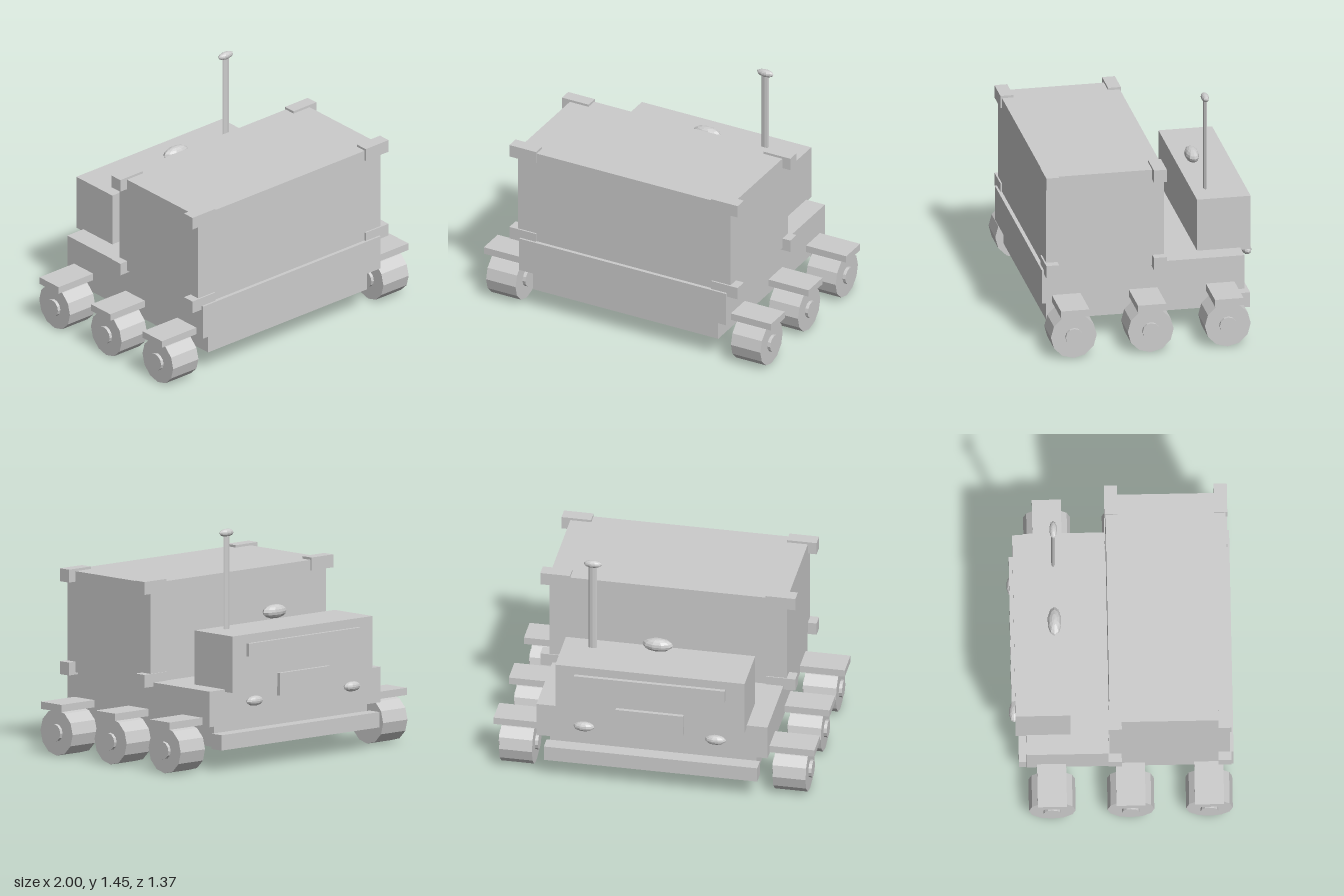
import * as THREE from 'three';

export function createModel() {
  const model = new THREE.Group();
  model.name = 'cargoTruck';
  const grey = new THREE.MeshStandardMaterial({ color: 0xcccccc });
  grey.name = 'plain grey';

  const add = (name, geo) => {
    const mesh = new THREE.Mesh(geo, grey);
    mesh.name = name;
    model.add(mesh);
    return mesh;
  };
  // Box from its lower and upper limits on each axis
  const box = (name, x0, x1, y0, y1, z0, z1) =>
    add(name, new THREE.BoxGeometry(x1 - x0, y1 - y0, z1 - z0))
      .position.set((x0 + x1) / 2, (y0 + y1) / 2, (z0 + z1) / 2);
  // Faceted surface
  const facet = (geo) => {
    const flat = geo.toNonIndexed();
    flat.computeVertexNormals();
    return flat;
  };
  const ellipsoid = (name, rx, r, x, y, z) =>
    add(name, facet(new THREE.SphereGeometry(1, 10, 8).scale(rx, r, r))).position.set(x, y, z);
  const drum = (name, r, x0, x1, y, z) =>
    add(name, facet(new THREE.CylinderGeometry(r, r, x1 - x0, 12).rotateZ(Math.PI / 2)))
      .position.set((x0 + x1) / 2, y, z);

  // Chassis
  box('hull', -0.72, 0.72, 0.28, 0.5, -0.58, 0.685);
  box('lowerHull', -0.645, 0.645, 0.145, 0.28, -0.54, 0.645);
  box('bumper', -0.665, 0.665, 0.135, 0.23, -0.627, -0.54);

  // Cargo container with corner fittings
  box('container', -0.74, 0.74, 0.49, 1.115, -0.073, 0.662);
  for (const x of [-0.795, 0.61])
    for (const y of [0.475, 1.05])
      for (const z of [-0.08, 0.592])
        box('cornerFitting', x, x + 0.185, y, y + 0.08, z, z + 0.08);

  // Cab with window, grille and lamps
  box('cab', -0.59, 0.59, 0.485, 0.835, -0.645, -0.31);
  box('windowStrip', -0.47, 0.47, 0.7, 0.78, -0.668, -0.64);
  box('grille', -0.21, 0.21, 0.43, 0.57, -0.668, -0.64);
  for (const x of [-0.41, 0.41]) ellipsoid('lamp', 0.066, 0.031, x, 0.42, -0.653);
  ellipsoid('beacon', 0.095, 0.043, 0, 0.9, -0.397);

  // Antenna
  add('antennaMast', facet(new THREE.CylinderGeometry(0.012, 0.012, 0.6, 8).scale(2.25, 1, 1)))
    .position.set(0.405, 1.13, -0.397);
  ellipsoid('antennaTip', 0.057, 0.024, 0.405, 1.43, -0.397);

  // Wheels, hubs and fenders
  for (const s of [-1, 1])
    for (const z of [0.533, 0.053, -0.428]) {
      const [a, b] = s > 0 ? [0, 1] : [1, 0];
      const span = (lo, hi) => [s * [lo, hi][a], s * [lo, hi][b]];
      drum('wheel', 0.143, ...span(0.75, 0.955), 0.146, z);
      drum('hub', 0.054, ...span(0.73, 0.975), 0.146, z);
      box('fender', ...span(0.715, 1), 0.287, 0.332, z - 0.089, z + 0.089);
    }
  return model;
}
